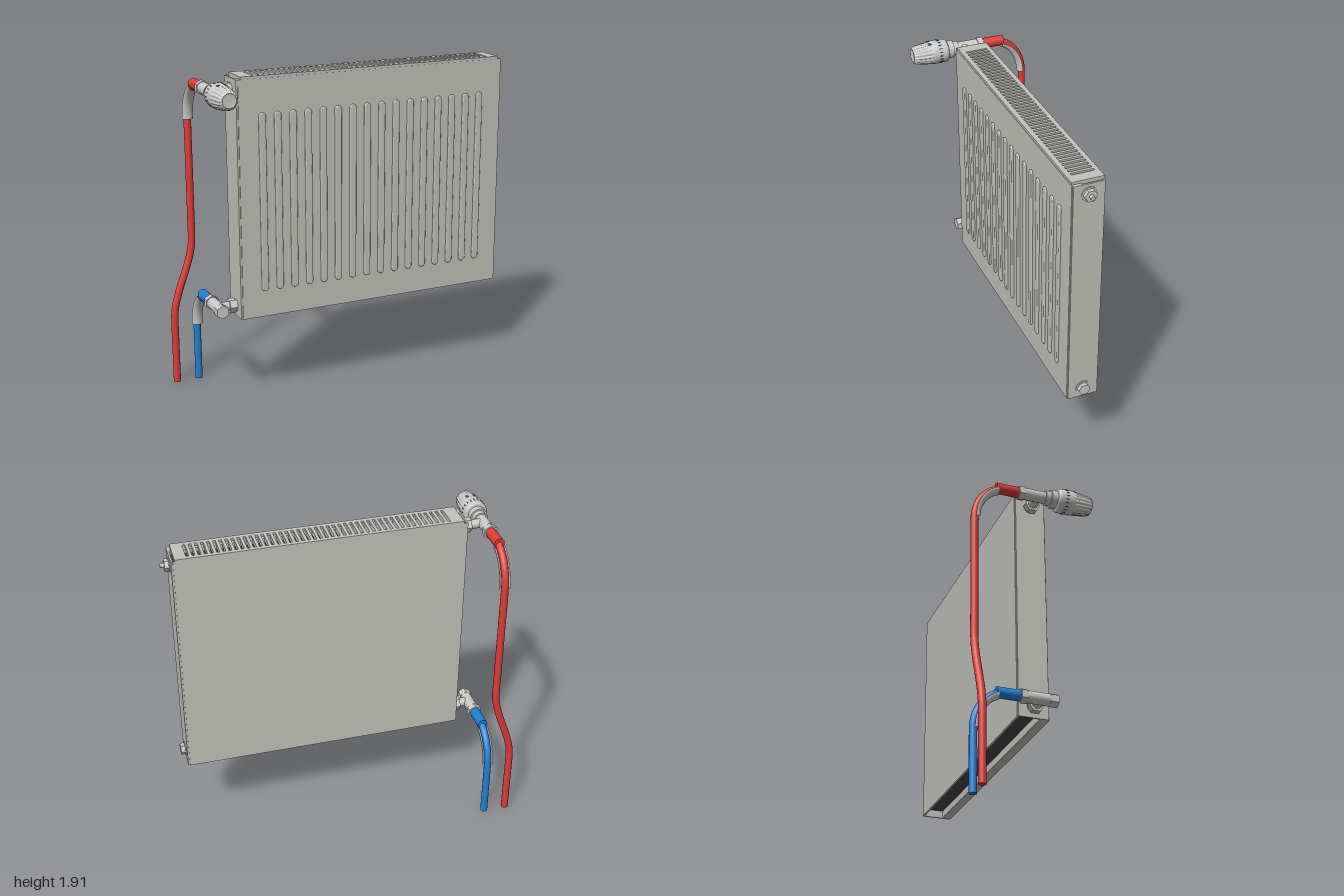
import * as THREE from 'three';
import { ParametricGeometry } from 'three/addons/geometries/ParametricGeometry.js';

const mat = (name, color, side = THREE.FrontSide) => {
  const m = new THREE.MeshStandardMaterial({ color, side });
  m.name = name;
  return m;
};

export function createModel() {
  const root = new THREE.Group();
  root.name = 'radiator';
  const enamel = mat('grey enamel', 0xc2c2bc);
  const metal = mat('valve metal', 0xcacac8, THREE.DoubleSide);
  const dark = mat('dark opening', 0x45484c);
  const red = mat('hot red', 0xdc3c37);
  const blue = mat('cold blue', 0x1f7fd6);

  const add = (name, geo, m, parent = root) => {
    const mesh = new THREE.Mesh(geo, m);
    mesh.name = name;
    parent.add(mesh);
    return mesh;
  };
  // box given by its min and max corners
  const box = (name, a, b, m, parent) => {
    const mesh = add(name, new THREE.BoxGeometry(b[0] - a[0], b[1] - a[1], b[2] - a[2]), m, parent);
    mesh.position.set((a[0] + b[0]) / 2, (a[1] + b[1]) / 2, (a[2] + b[2]) / 2);
    return mesh;
  };
  // cylinder between two points; six sides gives a hex nut
  const rod = (name, r, a, b, m, sides = 24, parent = root, r2 = r) => {
    const p = new THREE.Vector3(...a), q = new THREE.Vector3(...b);
    let geo = new THREE.CylinderGeometry(r2, r, p.distanceTo(q), sides);
    if (sides === 6) {
      geo = geo.toNonIndexed();
      geo.computeVertexNormals();
    }
    const mesh = add(name, geo, m, parent);
    mesh.position.copy(p).add(q).multiplyScalar(0.5);
    mesh.quaternion.setFromUnitVectors(new THREE.Vector3(0, 1, 0), q.sub(p).normalize());
    return mesh;
  };

  // panels and convector core
  const L = -0.72, R = 0.94, B = 0.515, T = 1.895;
  box('frontPanel', [L, B, 0.08], [R, T, 0.135], enamel);
  box('backPanel', [L, B, -0.05], [R, T, -0.038], enamel);
  box('convectorCore', [L + 0.005, 0.56, -0.038], [R - 0.005, 1.87, 0.08], dark);
  box('leftSideCover', [R, B, -0.045], [0.95, T, 0.13], enamel);
  box('rightSideCover', [-0.73, B, -0.045], [L, T, 0.13], enamel);

  // raised ribs with rounded ends
  const rib = new THREE.Shape();
  const rr = 0.015, y0 = 0.69, y1 = 1.685;
  rib.absarc(0, y1, rr, 0, Math.PI);
  rib.absarc(0, y0, rr, Math.PI, Math.PI * 2);
  const ribGeo = new THREE.ExtrudeGeometry(rib, {
    depth: 0.002, bevelEnabled: true, bevelThickness: 0.007, bevelSize: 0.006, bevelSegments: 3, curveSegments: 8,
  });
  const ribs = new THREE.Group();
  ribs.name = 'frontRibs';
  root.add(ribs);
  for (let i = 0; i < 16; i++) add('rib', ribGeo, enamel, ribs).position.set(-0.583 + i * 0.0923, 0, 0.136);

  // slotted top grille
  const plate = new THREE.Shape();
  const rect = (p, ax, ay, bx, by) => p.moveTo(ax, ay).lineTo(bx, ay).lineTo(bx, by).lineTo(ax, by).closePath();
  rect(plate, -0.705, -0.133, 0.93, 0.05);
  for (let i = 0; i < 45; i++) {
    const x = -0.63 + i * 0.0336, slot = new THREE.Path();
    rect(slot, x, -0.105, x + 0.016, 0.025);
    plate.holes.push(slot);
  }
  const grille = add('topGrille', new THREE.ExtrudeGeometry(plate, { depth: 0.03, bevelEnabled: false }), enamel);
  grille.rotation.x = -Math.PI / 2;
  grille.position.y = 1.88;

  // plugs on the left side
  const zc = 0.043;
  for (const y of [0.577, 1.835]) {
    rod('plugWasher', 0.042, [0.949, y, zc], [0.955, y, zc], metal);
    rod('plugNut', 0.035, [0.955, y, zc], [0.978, y, zc], metal, 6);
  }
  rod('airVent', 0.012, [0.978, 1.835, zc], [1.0, 1.835, zc], metal, 12);

  // valve with its connector, sleeve, bent pipe and bend support
  const zp = -0.338, zs = -0.15, drop = 0.225;
  function valve(name, x, y, m, tail) {
    const g = new THREE.Group();
    g.name = name;
    root.add(g);
    rod('connectorNut', 0.044, [-0.775, y, zc], [-0.738, y, zc], metal, 6, g);
    rod('connectorFlange', 0.036, [-0.738, y, zc], [-0.729, y, zc], metal, 24, g);
    rod('connector', 0.027, [x, y, zc], [-0.775, y, zc], metal, 24, g);
    rod('valveBody', 0.034, [x, y, -0.05], [x, y, 0.09], metal, 24, g);
    rod('pipeNut', 0.043, [x, y, -0.08], [x, y, -0.045], metal, 6, g);
    rod('pipeSleeve', 0.031, [x, y, -0.213], [x, y, -0.08], m, 24, g);
    const bend = (t, off = 0) => [
      y - drop + (drop + off) * Math.cos(t),
      zs - (zs - zp + off) * Math.sin(t),
    ];
    const pts = [new THREE.Vector3(x, y, -0.1)];
    for (let i = 0; i <= 12; i++) {
      const [py, pz] = bend((i / 12) * Math.PI / 2);
      pts.push(new THREE.Vector3(x, py, pz));
    }
    for (const p of tail) pts.push(new THREE.Vector3(p[0], p[1], zp));
    add('pipe', new THREE.TubeGeometry(new THREE.CatmullRomCurve3(pts), 160, 0.0215, 16), m, g);
    const end = tail[tail.length - 1][0];
    rod('pipeEnd', 0.0214, [end, 0, zp], [end, 0.01, zp], m, 16, g);
    // half shell on the inner side of the bend
    const shell = new ParametricGeometry((u, v, target) => {
      const a = (v - 0.5) * Math.PI;
      const [py, pz] = bend(0.3 + u * (Math.PI / 2 - 0.3), -0.031 * Math.cos(a));
      target.set(x + 0.032 * Math.sin(a), py, pz);
    }, 24, 14);
    add('bendSupport', shell, metal, g);
    return g;
  }

  // hot pipe sways sideways on its way down
  const hx = -0.855, hy = 1.832, sway = [[hx, 1.3], [hx, 1.0]];
  for (let i = 0; i <= 12; i++) {
    const t = i / 12;
    sway.push([hx - 0.123 * t * t * (3 - 2 * t), 0.9 - 0.5 * t]);
  }
  sway.push([-0.978, 0.2], [-0.978, 0]);
  const hot = valve('thermostatValve', hx, hy, red, sway);
  const cold = valve('returnValve', -0.84, 0.577, blue, [[-0.84, 0.2], [-0.84, 0]]);
  rod('valveCap', 0.04, [-0.84, 0.577, 0.085], [-0.84, 0.577, 0.13], metal, 6, cold);

  // thermostat head
  rod('headNeck', 0.042, [hx, hy, 0.08], [hx, hy, 0.115], metal, 24, hot);
  rod('headRing', 0.052, [hx, hy, 0.112], [hx, hy, 0.15], metal, 32, hot);
  const head = new THREE.Group();
  head.name = 'thermostatHead';
  head.position.set(hx, hy, 0);
  head.rotation.x = Math.PI / 2;
  hot.add(head);
  const profile = (list) => list.map(([r, h]) => new THREE.Vector2(r, h));
  add('headBase', new THREE.LatheGeometry(profile([
    [0, 0.148], [0.058, 0.148], [0.066, 0.155], [0.069, 0.17], [0.07, 0.235], [0.068, 0.245],
  ]), 48), metal, head);
  const grip = new THREE.LatheGeometry(profile([
    [0.068, 0.243], [0.067, 0.26], [0.064, 0.29], [0.06, 0.32], [0.056, 0.345], [0.05, 0.358], [0.04, 0.364],
  ]), 108);
  // flutes pressed into the grip
  const pos = grip.attributes.position;
  for (let i = 0; i < pos.count; i++) {
    const x = pos.getX(i), z = pos.getZ(i), h = pos.getY(i);
    const depth = h > 0.25 && h < 0.36 ? 0.08 : 0;
    const k = 1 - depth * Math.max(0, Math.cos(18 * Math.atan2(x, z)));
    pos.setXYZ(i, x * k, h, z * k);
  }
  grip.computeVertexNormals();
  add('headGrip', grip, metal, head);
  add('headFace', new THREE.LatheGeometry(profile([[0.04, 0.364], [0.036, 0.359], [0, 0.359]]), 32), metal, head);

  // dark notches round the head, then the hot and cold marks
  const mark = (name, a, h, w, len, m) => {
    const p = add(name, new THREE.BoxGeometry(w, len, 0.004), m, head);
    p.position.set(0.0695 * Math.sin(a), h, 0.0695 * Math.cos(a));
    p.rotation.y = a;
  };
  for (let i = 0; i < 20; i++) mark('notch', (i / 20) * Math.PI * 2, 0.2, 0.005, 0.02, dark);
  mark('hotMark', Math.PI + 0.33, 0.258, 0.012, 0.018, red);
  mark('coldMark', Math.PI - 0.33, 0.258, 0.012, 0.018, blue);
  return root;
}
